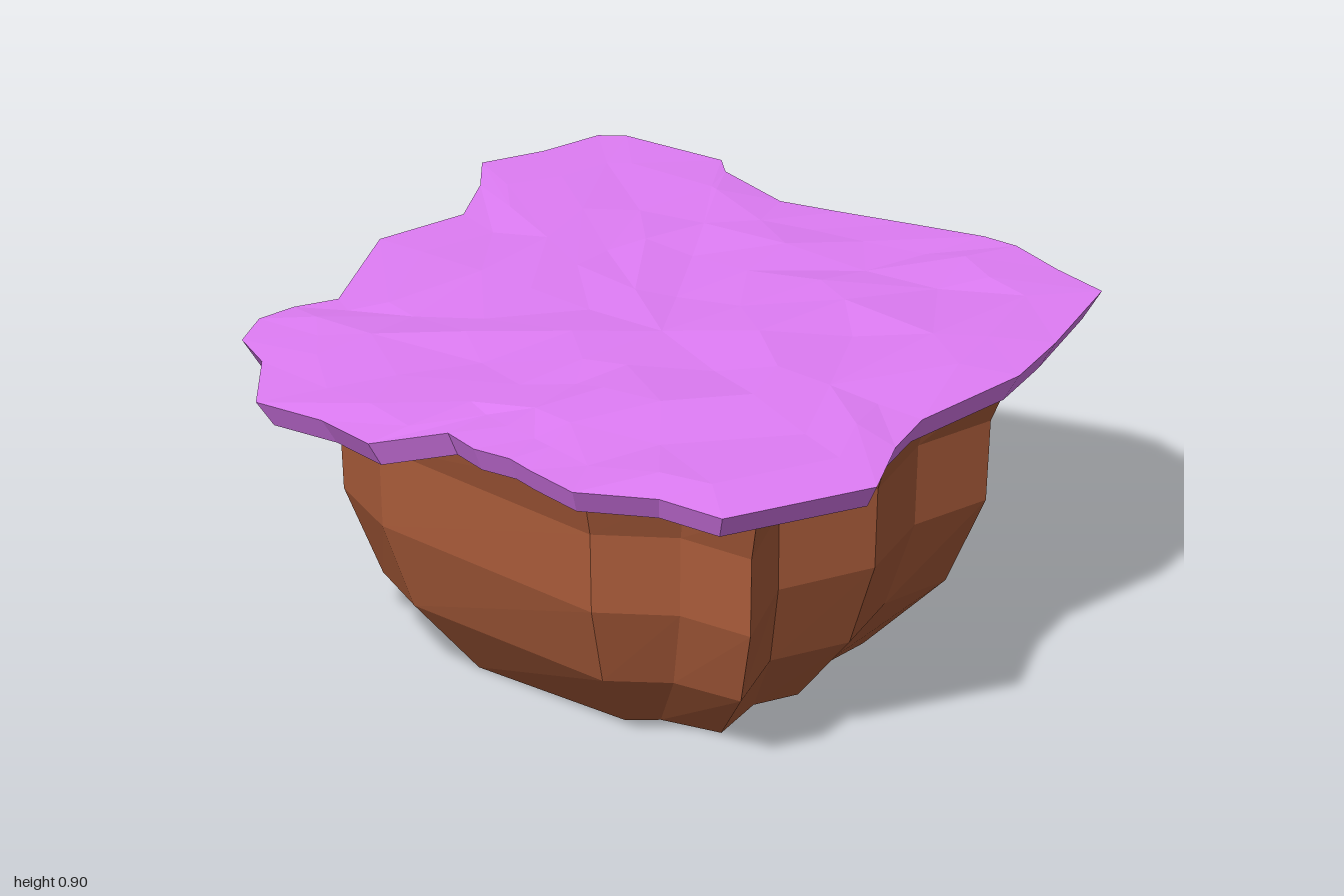
import * as THREE from 'three';

// Closed skin over a stack of rings (points run counter-clockwise seen from above).
// A ring may have half as many points as the one below it.
function loft(rings, topY) {
  const pos = rings.flat(2), index = [];
  let start = 0;
  for (let r = 0; r < rings.length - 1; r++) {
    const n = rings[r].length, m = rings[r + 1].length;
    const a = i => start + i % n, b = i => start + n + i % m;
    for (let i = 0; i < m; i++) {
      if (m === n) index.push(a(i), a(i + 1), b(i + 1), a(i), b(i + 1), b(i));
      else {
        const k = 2 * i;
        index.push(a(k), a(k + 1), b(i), a(k + 1), a(k + 2), b(i + 1), a(k + 1), b(i + 1), b(i));
      }
    }
    start += n;
  }
  // Flat underside and top fan
  const low = pos.length / 3, n = rings[0].length, m = rings[rings.length - 1].length;
  pos.push(0, rings[0][0][1], 0, 0, topY, 0);
  for (let i = 0; i < n; i++) index.push(low, (i + 1) % n, i);
  for (let i = 0; i < m; i++) index.push(low + 1, start + i, start + (i + 1) % m);
  const geo = new THREE.BufferGeometry();
  geo.setAttribute('position', new THREE.Float32BufferAttribute(pos, 3));
  geo.setIndex(index);
  const flat = geo.toNonIndexed();
  flat.computeVertexNormals();
  return flat;
}

function seeded(seed) {
  return () => (seed = (seed * 16807) % 2147483647) / 2147483647;
}

export function createModel() {
  const group = new THREE.Group();
  const add = (name, geo, color) => {
    const mesh = new THREE.Mesh(geo, new THREE.MeshStandardMaterial({ color, flatShading: true }));
    mesh.name = name;
    group.add(mesh);
  };

  // Rock: base and belly outlines (x, z) with clefts, blended up the height
  const base = [[.23, .43], [.30, .37], [.47, .33], [.43, .15], [.48, .03], [.42, -.15], [.42, -.31],
    [.33, -.43], [.16, -.37], [-.04, -.45], [-.35, -.36], [-.41, -.20], [-.43, .07], [-.38, .35],
    [-.26, .43]];
  const belly = [[.33, .69], [.52, .56], [.74, .54], [.62, .28], [.73, .02], [.65, -.24], [.70, -.47],
    [.48, -.66], [.25, -.55], [.02, -.70], [-.50, -.52], [-.63, -.27], [-.68, .04], [-.63, .53],
    [-.41, .64]];
  const levels = [[0, 0], [.2, .67], [.44, 1], [.67, 1.04], [.83, 1.25]]; // height, blend
  const rockRings = levels.map(([y, t]) => base.map(([x, z], i) => [
    x + (belly[i][0] - x) * t, y, z + (belly[i][1] - z) * t]));
  add('rock', loft(rockRings, .83), 0xac5d3b);

  // Grass slab: ragged outline (x, z), tapered underside and bumpy top
  const outline = [[-.87, -.80], [-.81, -.845], [-.53, -.89], [-.48, -.845], [-.26, -.80], [-.10, -.85],
    [.08, -.91], [.28, -.975], [.38, -.985], [.55, -.945], [.72, -.92], [.82, -.61], [.87, -.40],
    [.84, -.04], [.89, .13], [1, .34], [.81, .74], [.61, .755], [.41, .865], [.24, .835], [.16, .815],
    [.05, .83], [-.06, .80], [-.18, .98], [-.36, .95], [-.56, .975], [-.70, .78], [-.82, .715],
    [-.865, .59], [-.84, .48], [-.78, .37], [-.92, .03], [-.845, -.22], [-.92, -.38], [-1, -.485],
    [-.92, -.64]].reverse();
  const rand = seeded(77);
  const ring = (scale, y, bump, step) => outline.filter((p, i) => i % step === 0).map(([x, z]) => {
    const s = scale + (rand() - .5) * bump * 3;
    return [x * s, y + (rand() - .5) * bump, z * s];
  });
  add('grassTop', loft([
    ring(.955, .803, 0, 1),
    ring(1, .878, 0, 1),
    ring(.84, .885, .016, 1),
    ring(.66, .888, .025, 2),
    ring(.46, .887, .025, 2),
    ring(.24, .886, .02, 4),
  ], .888), 0xe07df6);

  return group;
}
